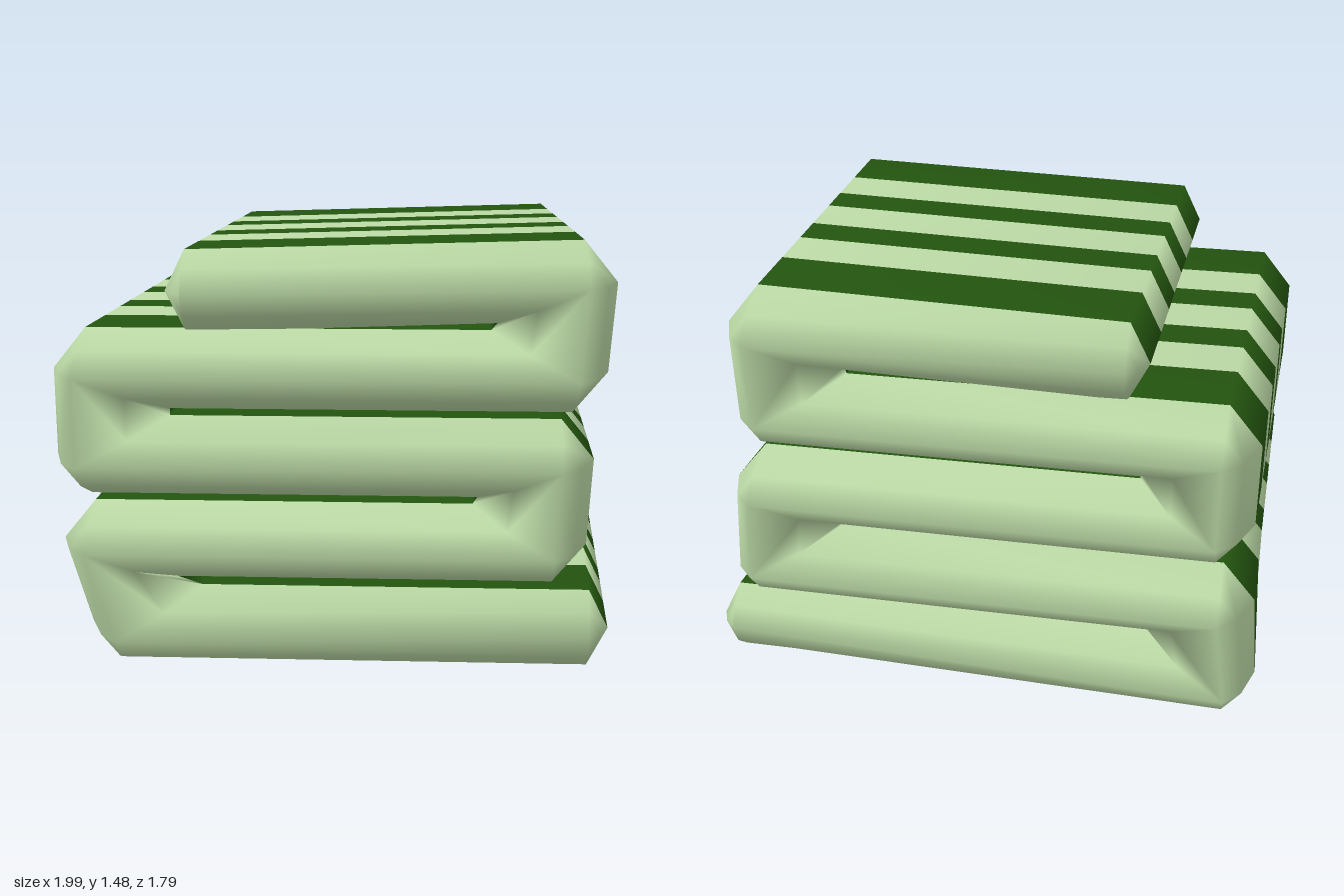
import * as THREE from 'three';
import { mergeVertices } from 'three/addons/utils/BufferGeometryUtils.js';

const THICK = 0.138; // half thickness of one layer

// Each node along the folded cloth: x, skew of x towards the front, y,
// offset of side a, offset of side b (in half thicknesses), roundness of the side edge
function clothPath() {
  const nodes = [];
  const end = (x, skew, y, dir, first, up) => {
    const tip = { x, skew, y, a: [0.5 * dir, 0], b: [0.5 * dir, 0], edge: 0.45 };
    const rim = { x, skew, y, a: [0, -up], b: [0, up], edge: 0.5 };
    nodes.push(...(first ? [tip, rim] : [rim, tip]));
  };
  // A fold turns the cloth back over itself; its inner corner is a notch
  const fold = (dir, low, high, outer) => {
    const inner = outer === 'a' ? 'b' : 'a';
    const add = ([x, skew, y], out, inn) =>
      nodes.push({ x, skew, y, [outer]: out, [inner]: inn, edge: 1 });
    add(low, [0, -1], [-2 * dir, 1]);
    add(low, [0.82 * dir, 0], [-2 * dir, 1]);
    add(high, [0.82 * dir, 0], [-2 * dir, -1]);
    add(high, [0, 1], [-2 * dir, -1]);
  };
  end(0.88, -0.05, 0.138, 1, true, 1);
  fold(-1, [-0.82, 0.035, 0.138], [-0.85, -0.02, 0.443], 'a');
  fold(1, [0.745, -0.045, 0.443], [0.745, -0.03, 0.743], 'b');
  fold(-1, [-0.845, -0.035, 0.743], [-0.845, -0.035, 1.043], 'a');
  fold(1, [0.745, 0.005, 1.043], [0.76, 0.01, 1.342], 'b');
  end(-0.51, -0.03, 1.305, -1, false, 1);
  return nodes;
}

// Stations across the width: z and fraction of the thickness
const half = [[0.1, 1], [0.25, 1], [0.45, 1], [0.7, 1], [0.83, 0.57], [0.895, 0]];
const stations = [...half.map(([z, t]) => [-z, t]).reverse(), ...half];

export function createModel() {
  const light = new THREE.MeshStandardMaterial({ color: 0xbcdaa6 });
  light.name = 'pale green';
  const dark = new THREE.MeshStandardMaterial({ color: 0x23540f });
  dark.name = 'dark green';

  const nodes = clothPath();
  const pos = [];
  for (const side of ['a', 'b']) {
    for (const n of nodes) {
      for (const [z0, t] of stations) {
        const az = Math.abs(z0);
        const z = Math.sign(z0) * (az > 0.7 ? 0.7 + (az - 0.7) * n.edge : az);
        const h = THICK * t;
        pos.push(n.x + n.skew * z / 0.7 + n[side][0] * h, n.y + n[side][1] * h, z);
      }
    }
  }

  const S = stations.length;
  const point = (i) => new THREE.Vector3().fromArray(pos, i * 3);
  const faces = { light: [], dark: [] };
  for (let side = 0; side < 2; side++) {
    for (let i = 0; i < nodes.length - 1; i++) {
      for (let j = 0; j < S - 1; j++) {
        const mid = Math.abs(stations[j][0] + stations[j + 1][0]) / 2;
        const striped = (mid > 0.1 && mid < 0.25) || (mid > 0.45 && mid < 0.7);
        const p = side * nodes.length * S + i * S + j;
        const [q, r, s] = [p + S, p + S + 1, p + 1];
        for (const tri of [[p, q, r], [p, r, s]]) {
          const [A, B, C] = tri.map(point);
          if (B.sub(A).cross(C.sub(A)).length() < 1e-7) continue; // collapsed corner
          faces[striped ? 'dark' : 'light'].push(...(side ? tri : tri.reverse()));
        }
      }
    }
  }

  // Smooth the whole cloth first, then share it between the two colours
  let cloth = new THREE.BufferGeometry();
  cloth.setAttribute('position', new THREE.Float32BufferAttribute(pos, 3));
  cloth.setIndex([...faces.light, ...faces.dark]);
  cloth = mergeVertices(cloth, 1e-4);
  cloth.computeVertexNormals();
  const index = Array.from(cloth.index.array);

  const group = new THREE.Group();
  group.name = 'foldedTowel';
  const addPart = (name, list, material) => {
    const g = new THREE.BufferGeometry();
    g.setAttribute('position', cloth.attributes.position);
    g.setAttribute('normal', cloth.attributes.normal);
    g.setIndex(list);
    const mesh = new THREE.Mesh(g, material);
    mesh.name = name;
    group.add(mesh);
  };
  addPart('cloth', index.slice(0, faces.light.length), light);
  addPart('stripes', index.slice(faces.light.length), dark);
  return group;
}
